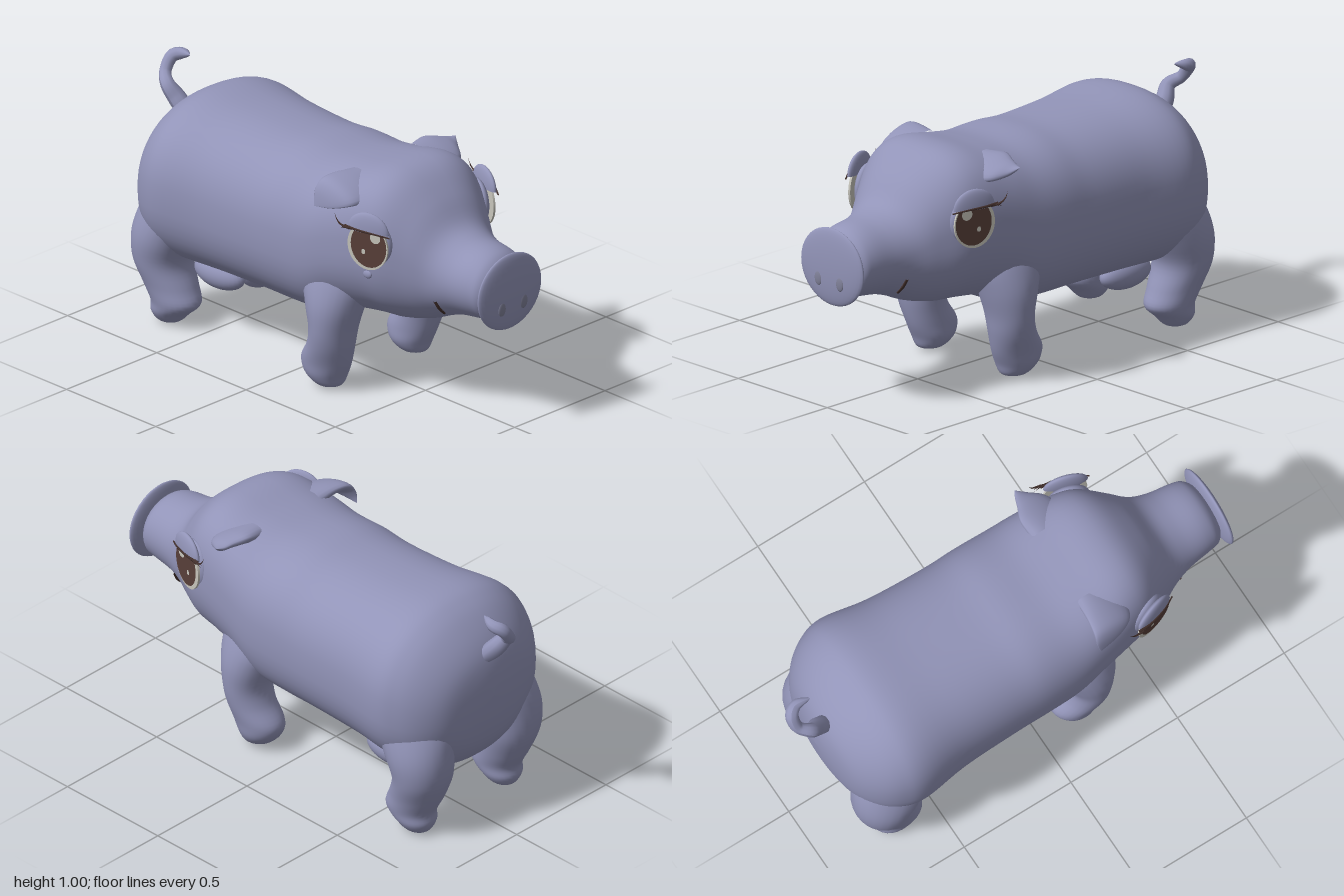
import * as THREE from 'three';

const mat = (name, color, side = THREE.FrontSide) => {
  const m = new THREE.MeshStandardMaterial({ color, side });
  m.name = name;
  return m;
};

// Catmull-Rom blend of a table of section rows
function sampleRows(rows, t) {
  const f = t * (rows.length - 1), i = Math.min(Math.floor(f), rows.length - 2), u = f - i;
  const a = rows[Math.max(i - 1, 0)], b = rows[i], c = rows[i + 1], d = rows[Math.min(i + 2, rows.length - 1)];
  return b.map((_, k) => 0.5 * (2 * b[k] + (c[k] - a[k]) * u
    + (2 * a[k] - 5 * b[k] + 4 * c[k] - d[k]) * u * u
    + (3 * b[k] - a[k] - 3 * c[k] + d[k]) * u * u * u));
}

// Skin through cross-sections; point(row, angle) gives a position
function loft(rows, point, rings, segs) {
  const pos = [], idx = [];
  for (let i = 0; i <= rings; i++) {
    const row = sampleRows(rows, i / rings);
    for (let j = 0; j < segs; j++) pos.push(...point(row, (j / segs) * Math.PI * 2));
  }
  for (let i = 0; i < rings; i++) for (let j = 0; j < segs; j++) {
    const a = i * segs + j, b = i * segs + (j + 1) % segs;
    idx.push(a, b, a + segs, b, b + segs, a + segs);
  }
  const g = new THREE.BufferGeometry();
  g.setAttribute('position', new THREE.Float32BufferAttribute(pos, 3));
  g.setIndex(idx);
  g.computeVertexNormals();
  return g;
}

// Tube whose radius follows width(t)
function taperedTube(points, radius, width, segs = 24, sides = 8) {
  const curve = new THREE.CatmullRomCurve3(points.map(p => new THREE.Vector3(...p)));
  const g = new THREE.TubeGeometry(curve, segs, radius, sides);
  const p = g.attributes.position, v = new THREE.Vector3();
  for (let k = 0; k < p.count; k++) {
    const t = Math.floor(k / (sides + 1)) / segs, c = curve.getPointAt(t);
    v.fromBufferAttribute(p, k).sub(c).multiplyScalar(width(t)).add(c);
    p.setXYZ(k, v.x, v.y, v.z);
  }
  g.computeVertexNormals();
  return g;
}

// Mirror a geometry to the -z side, keeping faces outward
function mirrorZ(g) {
  g.scale(1, 1, -1);
  const a = g.index.array;
  for (let i = 0; i < a.length; i += 3) [a[i], a[i + 1]] = [a[i + 1], a[i]];
  return g;
}

const ellipsoid = (x, y, z, rx, ry, rz) =>
  new THREE.SphereGeometry(1, 32, 20).scale(rx, ry, rz).translate(x, y, z);
const plate = (x, y, z, rx, ry) => new THREE.CircleGeometry(1, 32).scale(rx, ry, 1).translate(x, y, z);

export function createModel() {
  const skin = mat('skin', 0x9294b8);
  const nostrilGrey = mat('nostril grey', 0x808199);
  const eyeWhite = mat('eye white', 0xc6c4bb);
  const brown = mat('iris brown', 0x583f39);
  const dark = mat('lash brown', 0x43302c, THREE.DoubleSide);
  const pig = new THREE.Group();
  pig.name = 'pig';
  const add = (name, g, m, side = 1, parent = pig) => {
    const mesh = new THREE.Mesh(side < 0 ? mirrorZ(g) : g, m);
    mesh.name = name;
    parent.add(mesh);
  };

  // Body, head and snout: x, bottom, top, half width, roundness above and below (1 = round)
  const bodyRows = [
    [-0.875, 0.6, 0.6, 0, 1, 1], [-0.866, 0.47, 0.7, 0.11, 1, 1], [-0.838, 0.36, 0.79, 0.24, 0.95, 0.95],
    [-0.78, 0.28, 0.87, 0.33, 0.9, 0.9], [-0.7, 0.25, 0.935, 0.385, 0.87, 0.85],
    [-0.6, 0.25, 0.963, 0.406, 0.87, 0.83], [-0.4, 0.25, 0.945, 0.375, 0.85, 0.83],
    [-0.15, 0.25, 0.935, 0.365, 0.85, 0.85], [0, 0.25, 0.943, 0.365, 0.83, 0.85],
    [0.15, 0.26, 0.937, 0.36, 0.8, 0.85], [0.28, 0.315, 0.953, 0.345, 0.74, 0.88],
    [0.42, 0.333, 0.977, 0.322, 0.7, 0.92], [0.52, 0.34, 0.955, 0.296, 0.72, 0.92],
    [0.62, 0.365, 0.875, 0.24, 0.82, 0.92], [0.7, 0.4, 0.785, 0.195, 0.92, 0.95],
    [0.78, 0.425, 0.75, 0.17, 1, 1], [0.88, 0.44, 0.735, 0.155, 1, 1], [0.93, 0.45, 0.71, 0.14, 1, 1],
    [0.96, 0.5, 0.66, 0.09, 1, 1], [0.965, 0.58, 0.58, 0, 1, 1]];
  const bend = (v, e) => Math.sign(v) * Math.pow(Math.abs(v), e);
  add('body', loft(bodyRows, ([x, lo, hi, w, above, below], t) => {
    const e = Math.cos(t) > 0 ? above : below;
    return [x, (lo + hi) / 2 + (hi - lo) / 2 * bend(Math.cos(t), e), w * bend(Math.sin(t), e)];
  }, 95, 56), skin);

  // Snout disc
  add('snoutDisc', ellipsoid(0.97, 0.58, 0, 0.025, 0.16, 0.175), skin);

  // Legs: y, centre x, centre z, radius x, radius z
  const frontLeg = [
    [0.58, 0.22, 0.19, 0.12, 0.1], [0.48, 0.22, 0.205, 0.15, 0.13], [0.38, 0.235, 0.235, 0.12, 0.125],
    [0.28, 0.24, 0.25, 0.092, 0.11], [0.2, 0.225, 0.25, 0.095, 0.1], [0.12, 0.19, 0.24, 0.11, 0.093],
    [0.06, 0.185, 0.235, 0.09, 0.085], [0.015, 0.2, 0.235, 0.055, 0.05], [0.008, 0.2, 0.235, 0, 0]];
  const hindLeg = [
    [0.62, -0.63, 0.2, 0.12, 0.12], [0.5, -0.65, 0.22, 0.17, 0.145], [0.38, -0.7, 0.245, 0.145, 0.138],
    [0.27, -0.72, 0.245, 0.118, 0.125], [0.17, -0.685, 0.24, 0.115, 0.105], [0.1, -0.655, 0.24, 0.11, 0.093],
    [0.05, -0.68, 0.24, 0.085, 0.08], [0.008, -0.69, 0.24, 0.05, 0.045], [0, -0.69, 0.24, 0, 0]];
  const legPoint = ([y, cx, cz, rx, rz], t) => [cx + rx * Math.cos(t), y, cz + rz * Math.sin(t)];

  // Ears: z, centre x, centre y, radius x, radius y (one droops, one stands out)
  const earRoot = [[0.16, 0.33, 0.885, 0.085, 0.05], [0.24, 0.33, 0.9, 0.09, 0.034]];
  const earTips = {
    1: [[0.31, 0.315, 0.895, 0.085, 0.028], [0.342, 0.28, 0.865, 0.055, 0.022], [0.355, 0.235, 0.825, 0, 0]],
    '-1': [[0.3, 0.33, 0.9, 0.065, 0.025], [0.34, 0.31, 0.905, 0.03, 0.014], [0.368, 0.295, 0.92, 0, 0]] };
  const earPoint = ([z, cx, cy, rx, ry], t) =>
    [cx + rx * Math.cos(t), cy + ry * Math.sin(t) - 0.35 * rx * Math.cos(t), z];

  const eyePlace = new THREE.Matrix4().makeRotationY(0.29).setPosition(0.505, 0.727, 0.322);
  for (const side of [1, -1]) {
    const s = side > 0 ? 'left' : 'right';
    const tag = part => `${part}_${s}`;
    add(tag('frontLeg'), loft(frontLeg, legPoint, 40, 28), skin, side);
    add(tag('hindLeg'), loft(hindLeg, legPoint, 40, 28), skin, side);
    add(tag('flankFold'), ellipsoid(-0.48, 0.25, 0.17, 0.13, 0.065, 0.06), skin, side);
    add(tag('ear'), loft([...earRoot, ...earTips[side]], earPoint, 20, 20), skin, side);
    add(tag('nostril'), ellipsoid(0.99, 0.525, 0.06, 0.006, 0.03, 0.02), nostrilGrey, side);
    add(tag('mouthCorner'), taperedTube([[0.725, 0.51, 0.17], [0.728, 0.475, 0.15], [0.72, 0.44, 0.112]],
      0.006, () => 1, 10, 6), dark, side);

    // Eye built flat, then turned onto the side of the head
    const eye = new THREE.Group();
    eye.name = tag('eye');
    pig.add(eye);
    const addEye = (name, g, m) => add(tag(name), g.applyMatrix4(eyePlace), m, side, eye);
    addEye('eyeSocket', ellipsoid(0, 0, -0.036, 0.088, 0.1, 0.034), skin);
    addEye('eyeBall', new THREE.CylinderGeometry(1, 1, 0.009, 32).rotateX(Math.PI / 2)
      .scale(0.09, 0.1, 1).translate(-0.002, -0.002, -0.002), eyeWhite);
    addEye('iris', plate(0.004, 0.002, 0.005, 0.08, 0.092), brown);
    addEye('largeGlint', plate(0.035, 0.043, 0.008, 0.023, 0.024), eyeWhite);
    addEye('smallGlint', plate(-0.018, -0.024, 0.008, 0.009, 0.011), eyeWhite);
    addEye('eyelid', new THREE.SphereGeometry(1, 28, 10, 0, Math.PI * 2, 0, Math.PI / 2)
      .scale(0.092, 0.08, 0.022).translate(0, 0.063, 0), skin);
    addEye('lashLine', taperedTube([[-0.1, 0.072, 0.01], [-0.04, 0.07, 0.022], [0.04, 0.066, 0.022],
      [0.1, 0.056, 0.008]], 0.006, t => 1 - 0.5 * t, 16, 6), dark);
    for (let i = 0; i < 4; i++) {
      addEye('lash' + (i + 1), taperedTube([[-0.065 - 0.01 * i, 0.068, 0.018], [-0.1 - 0.01 * i, 0.066 + 0.006 * i, 0.012],
        [-0.125 - 0.008 * i, 0.055 + 0.02 * i, 0.006]], 0.005, t => 1 - t, 8, 5), dark);
    }
  }

  // Cheek mole on one side only
  add('cheekMole', ellipsoid(0.48, 0.592, 0.302, 0.023, 0.018, 0.01), skin);

  // Curly tail
  add('tail', taperedTube([[-0.82, 0.76, 0], [-0.88, 0.83, 0.015], [-0.915, 0.88, 0.03], [-0.958, 0.91, 0.0],
    [-0.96, 0.965, -0.04], [-0.93, 0.98, -0.06], [-0.87, 0.995, -0.05]], 0.038,
    t => 0.85 + 0.15 * Math.sin(t * 9) - 0.85 * Math.pow(t, 5), 40, 10), skin);

  return pig;
}
